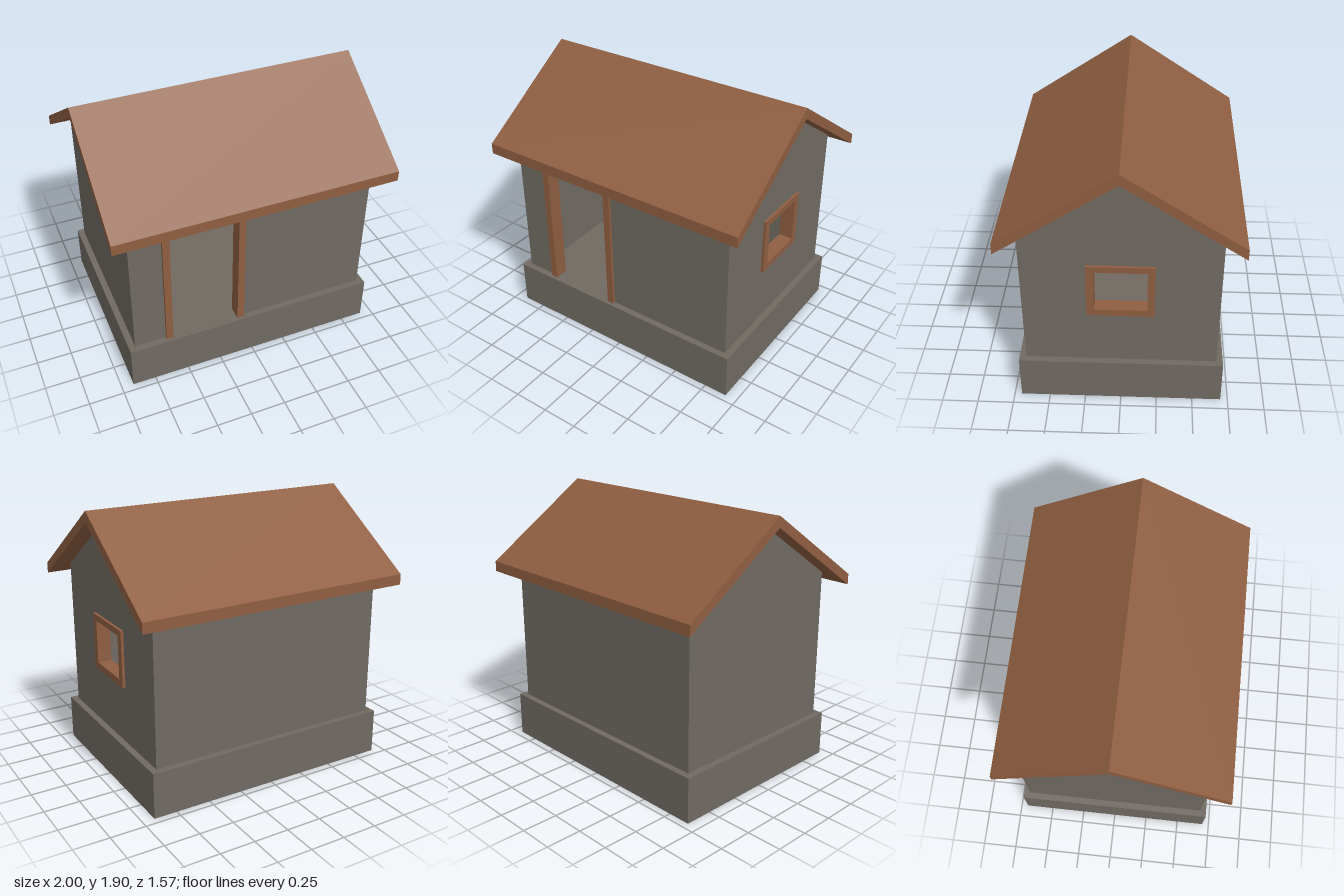
import * as THREE from 'three';

const stone = new THREE.MeshStandardMaterial({ color: 0x706a62 });
stone.name = 'stone grey';
const wood = new THREE.MeshStandardMaterial({ color: 0x8f5e41 });
wood.name = 'wood brown';

const FLOOR = 0.325, WX = 0.87, WZ = 0.655, T = 0.08;
const RIDGE = 1.905, ROOF_Z = 0.785, ROOF_T = 0.075, EAVE = 1.385;
const SLOPE = (RIDGE - EAVE) / ROOF_Z;
const WALL_TOP = RIDGE - ROOF_T - WZ * SLOPE;

const polygon = (points) => points.map(([x, y]) => new THREE.Vector2(x, y));
const rect = (x0, x1, y0, y1) => polygon([[x0, y0], [x1, y0], [x1, y1], [x0, y1]]);

// Upright slab facing +z, from z = back to z = back + depth
function slab(points, depth, back, hole) {
  const shape = new THREE.Shape(points);
  if (hole) shape.holes.push(new THREE.Path(hole));
  return new THREE.ExtrudeGeometry(shape, { depth, bevelEnabled: false }).translate(0, 0, back);
}

export function createModel() {
  const house = new THREE.Group();
  house.name = 'house';
  const add = (name, geometry, material) => {
    const mesh = new THREE.Mesh(geometry, material);
    mesh.name = name;
    house.add(mesh);
  };

  // Plinth, whose top is also the floor
  add('plinth', new THREE.BoxGeometry(1.83, FLOOR, 1.4).translate(0, FLOOR / 2, 0), stone);

  // Long walls fit between the gables; the front one is notched for the door
  const ix = WX - T;
  add('backWall', slab(rect(-ix, ix, FLOOR, WALL_TOP), T, -WZ), stone);
  add('frontWall', slab(polygon([
    [-ix, FLOOR], [-0.645, FLOOR], [-0.645, 1.335], [-0.06, 1.335],
    [-0.06, FLOOR], [ix, FLOOR], [ix, WALL_TOP], [-ix, WALL_TOP],
  ]), T, WZ - T), stone);

  // Gable walls, the left one (+x) with a window opening
  const gable = polygon([
    [-WZ, FLOOR], [WZ, FLOOR], [WZ, WALL_TOP], [0, RIDGE - ROOF_T], [-WZ, WALL_TOP],
  ]);
  const windowHole = rect(-0.225, 0.225, 0.735, 1.14);
  add('leftGable', slab(gable, T, WX - T, windowHole).rotateY(Math.PI / 2), stone);
  add('rightGable', slab(gable, T, -WX).rotateY(Math.PI / 2), stone);

  // Door and window frames line their openings and stand proud of the wall
  add('doorFrame', slab(polygon([
    [-0.645, FLOOR], [-0.595, FLOOR], [-0.595, 1.29], [-0.11, 1.29],
    [-0.11, FLOOR], [-0.06, FLOOR], [-0.06, 1.335], [-0.645, 1.335],
  ]), T + 0.02, WZ - T), wood);
  add('windowFrame', slab(windowHole, T + 0.02, WX - T, rect(-0.175, 0.175, 0.785, 1.095))
    .rotateY(Math.PI / 2), wood);

  // Pitched roof
  add('roof', slab(polygon([
    [-ROOF_Z, EAVE - ROOF_T], [0, RIDGE - ROOF_T], [ROOF_Z, EAVE - ROOF_T],
    [ROOF_Z, EAVE], [0, RIDGE], [-ROOF_Z, EAVE],
  ]), 2, -1).rotateY(Math.PI / 2), wood);

  return house;
}
